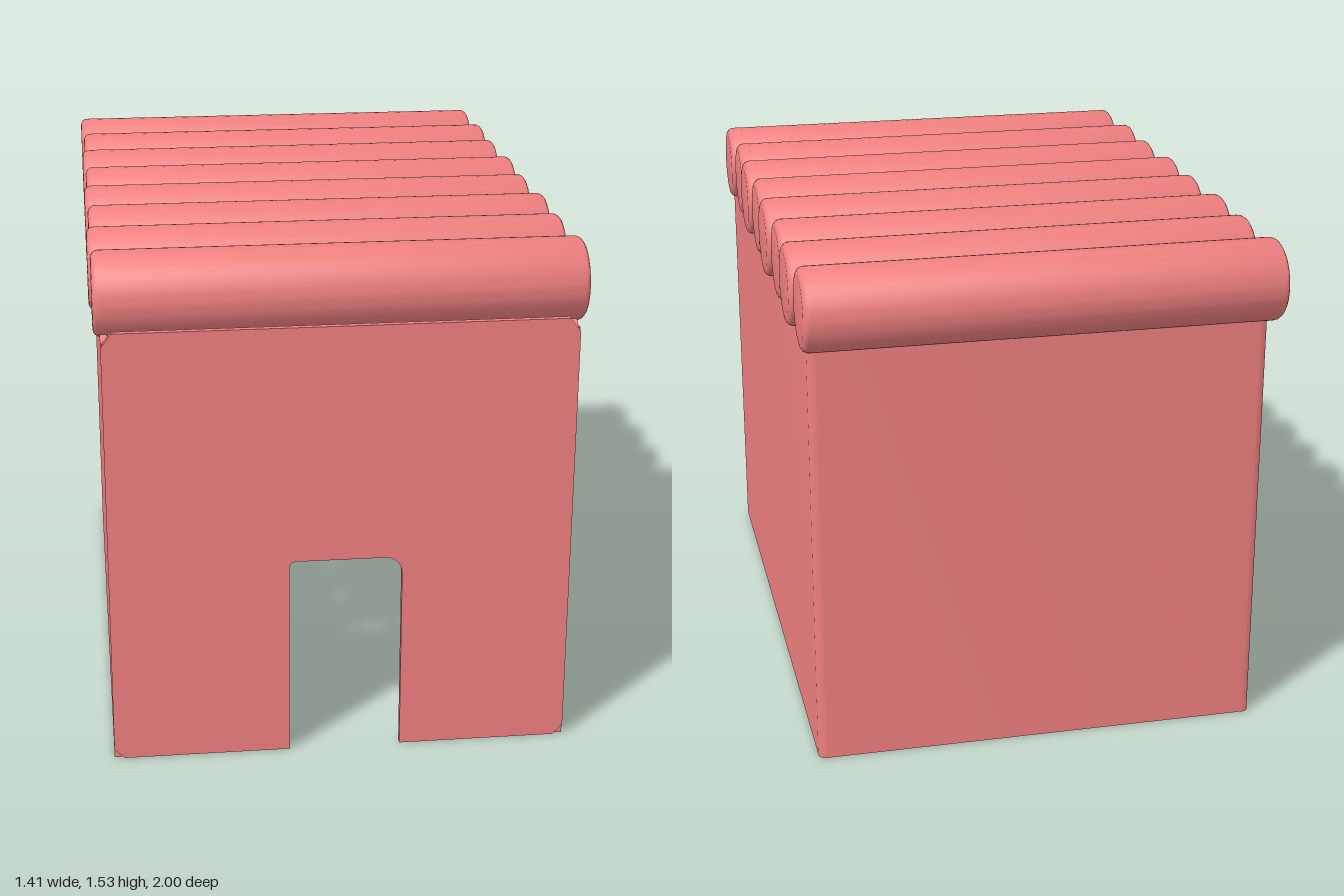
import * as THREE from 'three';
import { toCreasedNormals } from 'three/addons/utils/BufferGeometryUtils.js';

const material = new THREE.MeshStandardMaterial({ color: 0xf08080, side: THREE.DoubleSide });
const W = 0.68, FRONT = 1.0, BACK = -0.9, WALL_TOP = 1.3, T = 0.02;

function add(parent, name, geometry, x = 0, y = 0, z = 0) {
  const mesh = new THREE.Mesh(geometry, material);
  mesh.name = name;
  mesh.position.set(x, y, z);
  parent.add(mesh);
  return mesh;
}

function extrude(shape, depth) {
  const g = new THREE.ExtrudeGeometry(shape, { depth, bevelEnabled: false, curveSegments: 6 });
  return toCreasedNormals(g, 0.6);
}

// U-shaped plan of the two sides and the back, with softened outer corners
function shellGeometry() {
  const r = 0.025, s = new THREE.Shape();
  const f = -FRONT + 0.008, b = -BACK, i = W - T;
  s.moveTo(-W, f);
  s.lineTo(-W, b - r);
  s.quadraticCurveTo(-W, b, -W + r, b);
  s.lineTo(W - r, b);
  s.quadraticCurveTo(W, b, W, b - r);
  s.lineTo(W, f);
  s.lineTo(i, f);
  s.lineTo(i, b - T);
  s.lineTo(-i, b - T);
  s.lineTo(-i, f);
  s.closePath();
  return extrude(s, WALL_TOP).rotateX(-Math.PI / 2);
}

// Front wall outline with the doorway cut up from the ground
function frontGeometry() {
  const s = new THREE.Shape();
  s.moveTo(-W + 0.03, 0);
  s.lineTo(-0.155, 0);
  s.lineTo(-0.155, 0.59);
  s.quadraticCurveTo(-0.155, 0.615, -0.135, 0.615);
  s.lineTo(0.135, 0.615);
  s.quadraticCurveTo(0.178, 0.605, 0.178, 0.56);
  s.lineTo(0.178, 0);
  s.lineTo(W - 0.03, 0);
  s.lineTo(W, 0.03);
  s.lineTo(W, 1.29);
  s.lineTo(W - 0.03, 1.33);
  s.lineTo(-W + 0.03, 1.33);
  s.lineTo(-W, 1.29);
  s.lineTo(-W, 0.03);
  s.closePath();
  return extrude(s, T);
}

// Log lying along x, with softened end rims
function logGeometry(r, half) {
  const e = 0.022, profile = [new THREE.Vector2(0, -half)];
  for (const side of [-1, 1]) {
    for (let k = 0; k <= 4; k++) {
      const a = (side < 0 ? k : 4 - k) / 4 * Math.PI / 2;
      profile.push(new THREE.Vector2(r - e + e * Math.sin(a), side * (half - e + e * Math.cos(a))));
    }
  }
  profile.push(new THREE.Vector2(0, half));
  return toCreasedNormals(new THREE.LatheGeometry(profile, 40), 0.7).rotateZ(-Math.PI / 2);
}

// Flared foot joining a log to the top of a side wall
function footGeometry() {
  const s = new THREE.Shape();
  s.moveTo(-0.1, 0);
  s.quadraticCurveTo(-0.06, 0.005, -0.07, 0.045);
  s.lineTo(0.07, 0.045);
  s.quadraticCurveTo(0.06, 0.005, 0.1, 0);
  s.closePath();
  return extrude(s, T).translate(0, 0, -T / 2).rotateY(Math.PI / 2);
}

export function createModel() {
  const hut = new THREE.Group();
  hut.name = 'hut';

  // Walls, open below and above
  const walls = new THREE.Group();
  walls.name = 'walls';
  hut.add(walls);
  add(walls, 'sideAndBackWalls', shellGeometry());
  add(walls, 'frontWall', frontGeometry(), 0, 0, FRONT - T);

  // Roof of parallel logs
  const roof = new THREE.Group();
  roof.name = 'roof';
  hut.add(roof);
  const logY = 1.412, radius = 0.122;
  const logZ = [0.877, 0.625, 0.375, 0.127, -0.123, -0.375, -0.627, -0.878];
  const log = logGeometry(radius, 0.703), foot = footGeometry();
  const web = new THREE.BoxGeometry(2 * W, 0.045, 0.05);
  logZ.forEach((z, i) => {
    add(roof, 'roofLog', log, i % 2 ? -0.004 : 0.004, logY, z);
    for (const side of [-1, 1]) {
      const footZ = Math.max(z, BACK + 0.1);
      add(roof, 'logFoot', foot, side * (W - T / 2), WALL_TOP - 0.005, footZ);
    }
    // Thin seams join neighbouring logs, leaving a slot behind the first
    if (i > 1) add(roof, 'logSeam', web, 0, logY, (z + logZ[i - 1]) / 2);
  });
  return hut;
}
